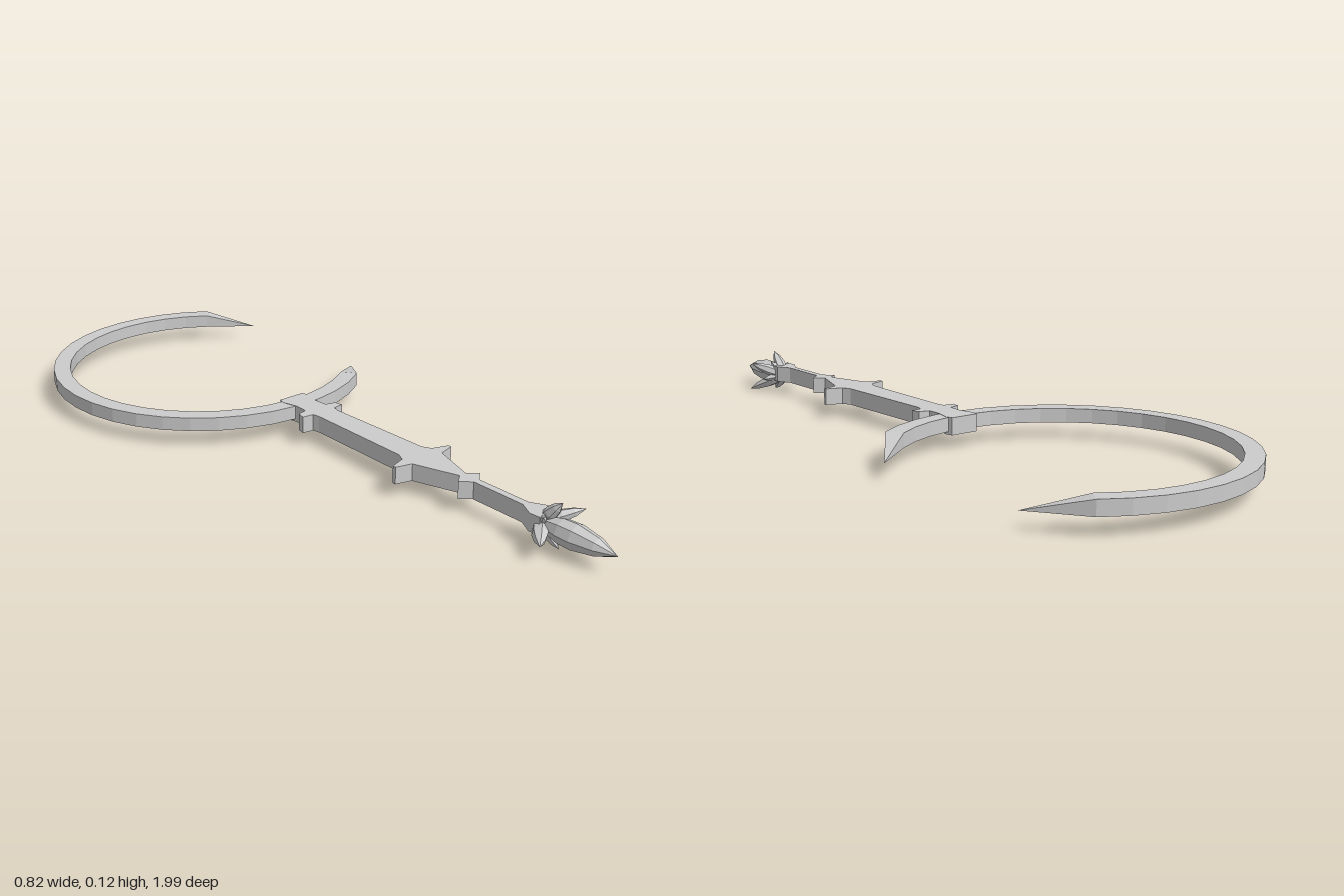
import * as THREE from 'three';

const CX = 0.045; // shared long axis of handle and ring
const material = new THREE.MeshStandardMaterial({ color: 0xcccccc, flatShading: true });

function addMesh(group, geometry, name) {
  const mesh = new THREE.Mesh(geometry, material);
  mesh.name = name;
  group.add(mesh);
  return mesh;
}

// Open ring: rectangular cross-sections swept round, closing to a point at each end
function ringGeometry() {
  const cz = -0.537, rIn = 0.412, rOut = 0.46, y0 = 0.05, y1 = 0.088;
  const start = 55, end = 305, steps = 26;
  const pos = [], index = [];
  const addSection = (deg, corners) => {
    const a = THREE.MathUtils.degToRad(deg);
    for (const [r, y] of corners) pos.push(CX + r * Math.cos(a), y, cz + r * Math.sin(a));
  };
  const tip = Array(4).fill([0.435, y0]);
  const full = [[rIn, y0], [rOut, y0], [rOut, y1], [rIn, y1]];
  addSection(34, tip);
  for (let i = 0; i <= steps; i++) addSection(start + (end - start) * i / steps, full);
  addSection(326, tip);
  for (let s = 0; s < steps + 2; s++) {
    for (let k = 0; k < 4; k++) {
      const a = s * 4 + k, b = s * 4 + (k + 1) % 4;
      if (s > 0) index.push(a, b, a + 4);
      else index.push(a, b + 4, a + 4);
      if (s > 0 && s < steps + 1) index.push(b, b + 4, a + 4);
    }
  }
  const g = new THREE.BufferGeometry();
  g.setAttribute('position', new THREE.Float32BufferAttribute(pos, 3));
  g.setIndex(index);
  g.computeVertexNormals();
  return g;
}

// Handle: mirrored half-width outline [z, half width], extruded upward
function handleGeometry() {
  const half = [
    [-0.14, 0.04], [-0.12, 0.045], [-0.075, 0.034], [-0.035, 0.036], [-0.028, 0.065],
    [-0.004, 0.07], [0.0, 0.038], [0.02, 0.034], [0.34, 0.04], [0.365, 0.052],
    [0.38, 0.098], [0.39, 0.098], [0.402, 0.052], [0.525, 0.011], [0.547, 0.038],
    [0.572, 0.01], [0.73, 0.01], [0.77, 0.032], [0.8, 0.03],
  ];
  const right = half.map(([z, w]) => new THREE.Vector2(CX + w, -z));
  const left = half.map(([z, w]) => new THREE.Vector2(CX - w, -z)).reverse();
  const g = new THREE.ExtrudeGeometry(new THREE.Shape([...right, ...left]), { depth: 0.047, bevelEnabled: false });
  g.rotateX(-Math.PI / 2);
  g.translate(0, 0.042, 0);
  return g;
}

// Faceted leaf-like crystal from base to tip
function addCrystal(group, name, base, tip, radius, sides = 6) {
  const from = new THREE.Vector3(...base), dir = new THREE.Vector3(...tip).sub(from);
  const length = dir.length();
  const profile = [[0, 0], [0.55, 0.06], [0.95, 0.3], [1, 0.48], [0.7, 0.75], [0, 1]]
    .map(([r, h]) => new THREE.Vector2(r * radius, h * length));
  const mesh = addMesh(group, new THREE.LatheGeometry(profile, sides), name);
  mesh.position.copy(from);
  mesh.quaternion.setFromUnitVectors(new THREE.Vector3(0, 1, 0), dir.normalize());
}

export function createModel() {
  const model = new THREE.Group();
  model.name = 'crescentStaff';
  addMesh(model, ringGeometry(), 'crescentRing');
  addMesh(model, handleGeometry(), 'handle');

  // Crystal cluster at the foot of the handle
  const cluster = new THREE.Group();
  cluster.name = 'crystalCluster';
  model.add(cluster);
  addCrystal(cluster, 'mainCrystal', [0.047, 0.06, 0.775], [0.05, 0.058, 0.998], 0.034, 8);
  const petals = [
    [0.05, 0.128, 0.835, 0.017], [0.125, 0.093, 0.845, 0.016], [0.107, 0.005, 0.89, 0.017],
    [0.048, 0.009, 0.835, 0.014], [-0.037, 0.05, 0.848, 0.02],
  ];
  for (const [x, y, z, r] of petals) addCrystal(cluster, 'sideCrystal', [0.047, 0.058, 0.775], [x, y, z], r);
  const buds = [[0.015, 0.092, 0.81], [0.075, 0.1, 0.815], [0.105, 0.045, 0.815]];
  for (const tip of buds) addCrystal(cluster, 'smallCrystal', [0.047, 0.06, 0.78], tip, 0.012, 5);
  return model;
}
